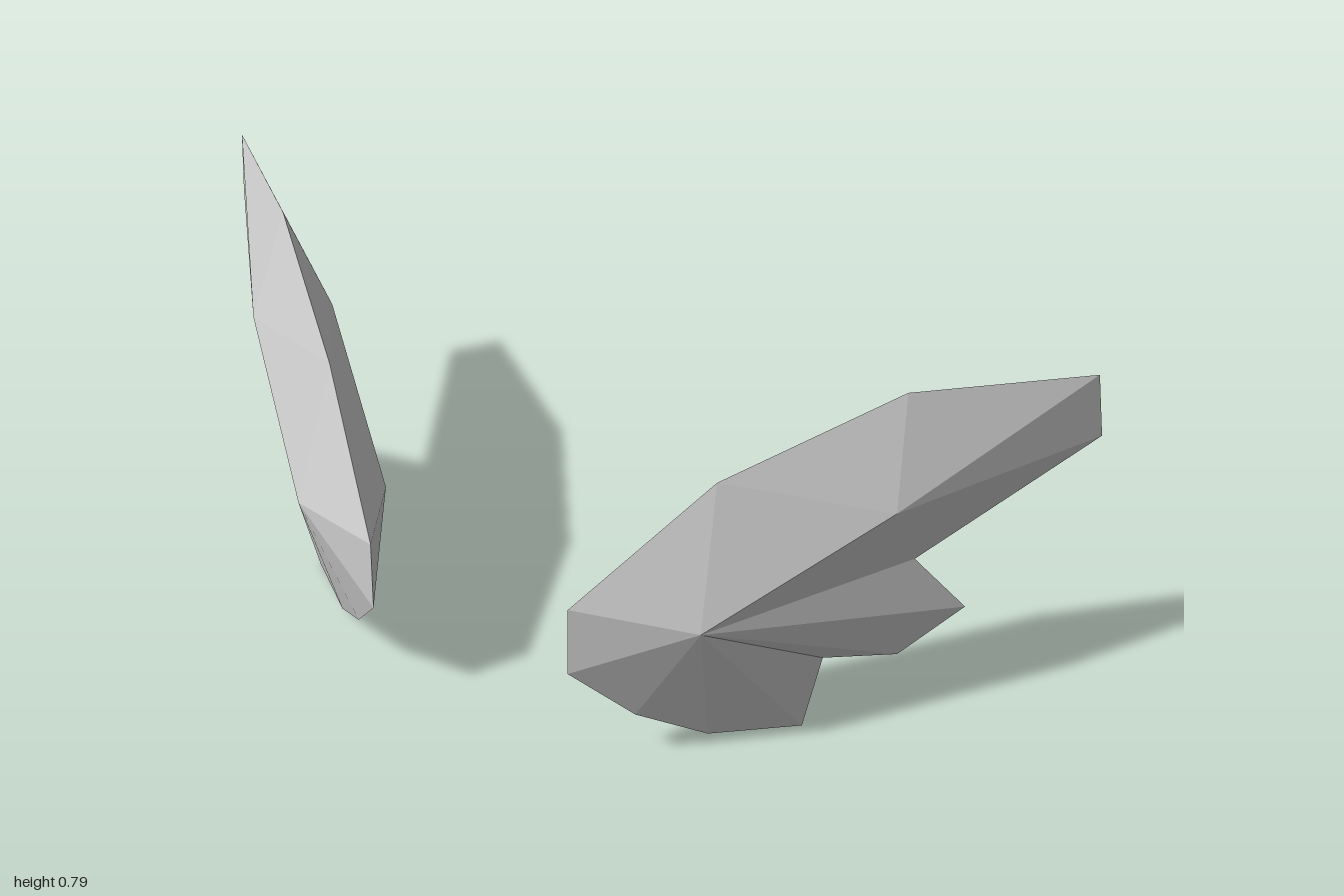
import * as THREE from 'three';

// Wing outline as [z, y]; it lies in the upright diagonal plane x + z = PLANE
const PLANE = 0.61;
const OUTLINE = [
  [0.39, 0.42], [0.18, 0.66], [-0.09, 0.79], [-0.375, 0.75], [-0.39, 0.60], [-0.12, 0.38],
  [-0.205, 0.23], [-0.105, 0.14], [0.01, 0.17], [0.036, 0], [0.18, 0.03], [0.29, 0.12], [0.39, 0.26],
];
const HUB = [0.22, 0.372, 0.065];   // z, y, offset either way across the plane
const RIDGE = [-0.06, 0.572, 0.06];

function wingGeometry(mirror) {
  const positions = [];
  const rim = OUTLINE.map(([z, y]) => [PLANE - z, y, z]);
  const raise = ([z, y, d], side) => [PLANE - z + d * side, y, z + d * side];

  for (const side of [1, -1]) {
    const hub = raise(HUB, side);
    const ridge = raise(RIDGE, side);
    const tri = (a, b, c) => {
      const corners = side * mirror > 0 ? [a, c, b] : [a, b, c];
      for (const [x, y, z] of corners) positions.push(x * mirror, y, z);
    };
    // Upper blade folds along the ridge; every other facet fans from the hub
    rim.forEach((p, i) => {
      const apex = i >= 1 && i <= 4 ? ridge : hub;
      tri(apex, p, rim[(i + 1) % rim.length]);
    });
    tri(hub, rim[1], ridge);
    tri(hub, ridge, rim[5]);
  }

  const geometry = new THREE.BufferGeometry();
  geometry.setAttribute('position', new THREE.Float32BufferAttribute(positions, 3));
  geometry.computeVertexNormals();
  return geometry;
}

export function createModel() {
  const group = new THREE.Group();
  group.name = 'wingPair';
  const grey = new THREE.MeshStandardMaterial({ color: 0xcccccc });
  grey.name = 'light grey';
  grey.flatShading = true;

  for (const [name, mirror] of [['leftWing', 1], ['rightWing', -1]]) {
    const wing = new THREE.Mesh(wingGeometry(mirror), grey);
    wing.name = name;
    group.add(wing);
  }
  return group;
}
